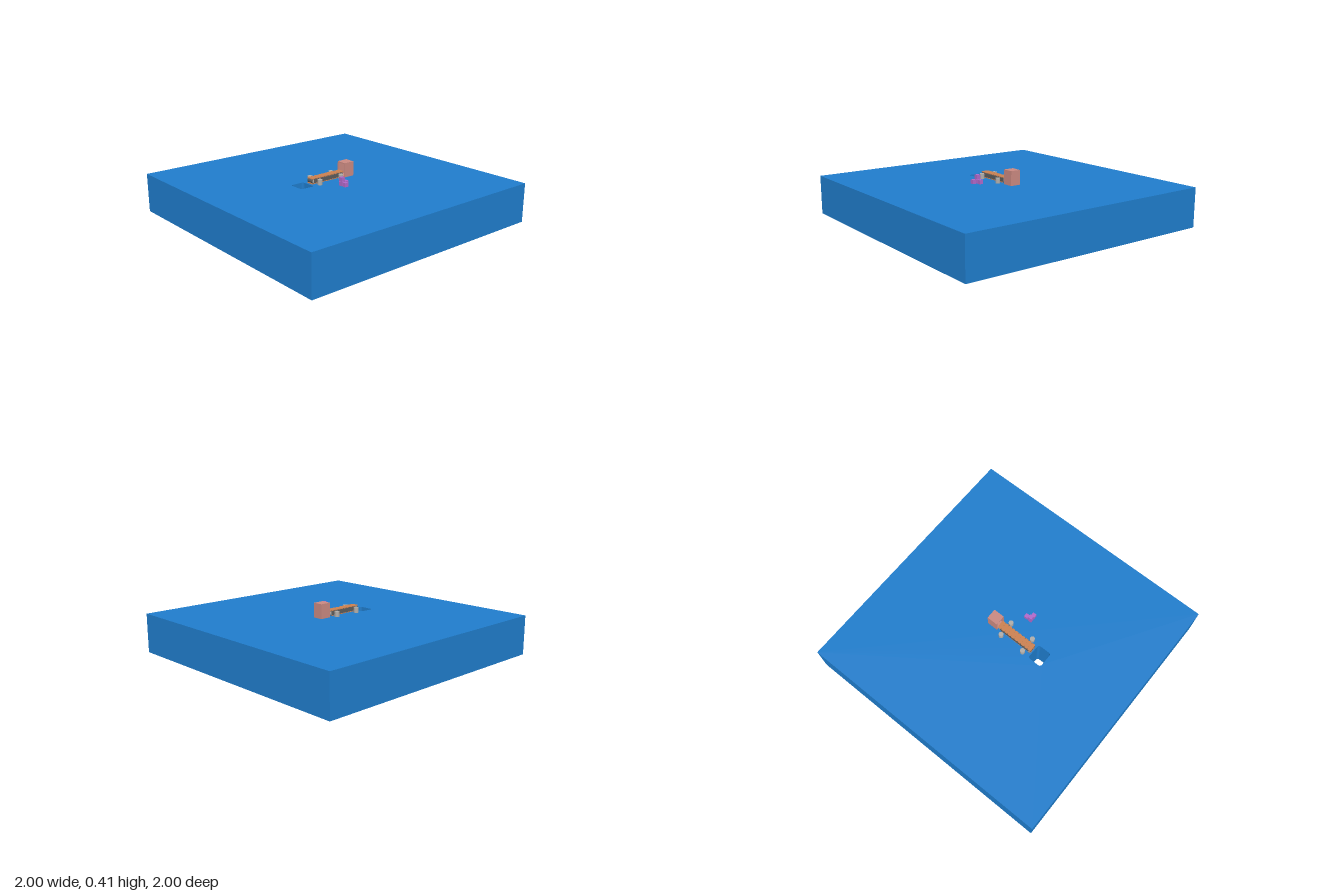
import * as THREE from 'three';

const mat = (color) => new THREE.MeshStandardMaterial({ color, flatShading: true });
const blue = mat(0x1f7ccb), pink = mat(0xc98880), orange = mat(0xc98050);
const grey = mat(0xb0aca8), dark = mat(0x5c5c5c), purple = mat(0xb068c8);

// Rounded rectangle outline centred on (cx, cy)
function roundedRect(PathType, cx, cy, w, h, r) {
  const p = new PathType(), x = w / 2 - r, y = h / 2 - r;
  p.absarc(cx + x, cy + y, r, 0, Math.PI / 2);
  p.absarc(cx - x, cy + y, r, Math.PI / 2, Math.PI);
  p.absarc(cx - x, cy - y, r, Math.PI, Math.PI * 1.5);
  p.absarc(cx + x, cy - y, r, Math.PI * 1.5, Math.PI * 2);
  p.closePath();
  return p;
}

function add(parent, name, geometry, material, x = 0, y = 0, z = 0) {
  const mesh = new THREE.Mesh(geometry, material);
  mesh.name = name;
  mesh.position.set(x, y, z);
  parent.add(mesh);
  return mesh;
}

const extrude = (shape, depth, curveSegments = 6) =>
  new THREE.ExtrudeGeometry(shape, { depth, bevelEnabled: false, curveSegments });

export function createModel() {
  const model = new THREE.Group();

  // Ground slab with a rounded shaft cut right through it
  const square = new THREE.Shape([[-1, -1], [1, -1], [1, 1], [-1, 1]].map(([x, y]) => new THREE.Vector2(x, y)));
  square.holes.push(roundedRect(THREE.Path, -0.28, 0.002, 0.112, 0.124, 0.018));
  add(model, 'groundSlab', extrude(square, 0.3).rotateX(-Math.PI / 2), blue);

  // Conveyor between the shaft and the box
  const conveyor = new THREE.Group();
  conveyor.name = 'conveyor';
  model.add(conveyor);
  const left = -0.197, right = 0.066, level = 0.325, mid = (left + right) / 2;

  // Belt loop and its end rollers
  const loop = roundedRect(THREE.Shape, mid, level, right - left + 0.036, 0.036, 0.0179);
  loop.holes.push(roundedRect(THREE.Path, mid, level, right - left + 0.026, 0.026, 0.0129));
  add(conveyor, 'belt', extrude(loop, 0.054), dark, 0, 0, -0.027);
  for (const x of [left, right]) {
    add(conveyor, 'endRoller', new THREE.CylinderGeometry(0.012, 0.012, 0.06, 12).rotateX(Math.PI / 2), grey, x, level);
  }

  // Side rails
  for (const z of [-0.028, 0.028]) {
    add(conveyor, 'sideRail', new THREE.BoxGeometry(right - left, 0.026, 0.005), dark, mid, level, z);
  }

  // Slats with cut corners along the top and bottom runs
  const slat = new THREE.Shape([[-0.015, -0.024], [-0.009, -0.031], [0.009, -0.031], [0.015, -0.024],
    [0.015, 0.024], [0.009, 0.031], [-0.009, 0.031], [-0.015, 0.024]].map(([x, y]) => new THREE.Vector2(x, y)));
  const slatGeometry = extrude(slat, 0.005).rotateX(-Math.PI / 2);
  for (let i = 0; i < 10; i++) {
    const x = -0.2 + i * 0.0305;
    add(conveyor, 'topSlat', slatGeometry, orange, x, 0.341, 0);
    if (x < right) add(conveyor, 'bottomSlat', slatGeometry, orange, x, 0.304, 0);
  }

  // Posts standing beside the belt, joined by cross rods
  for (const x of [-0.165, 0.035]) {
    add(conveyor, 'crossRod', new THREE.CylinderGeometry(0.004, 0.004, 0.12, 8).rotateX(Math.PI / 2), dark, x, level);
    for (const z of [-0.058, 0.058]) {
      add(conveyor, 'post', new THREE.CylinderGeometry(0.018, 0.018, 0.04, 16), grey, x, 0.32, z);
    }
  }

  // Box at the end of the belt, open toward it
  const box = new THREE.Group();
  box.name = 'openBox';
  model.add(box);
  const wall = 0.008, cx = 0.132;
  add(box, 'backWall', new THREE.BoxGeometry(wall, 0.11, 0.08), pink, 0.171, 0.355, 0);
  add(box, 'roof', new THREE.BoxGeometry(0.086, wall, 0.08), pink, cx, 0.406, 0);
  add(box, 'floor', new THREE.BoxGeometry(0.086, wall, 0.08), pink, cx, 0.304, 0);
  for (const z of [-0.036, 0.036]) {
    add(box, 'sideWall', new THREE.BoxGeometry(0.086, 0.11, wall), pink, cx, 0.355, z);
  }

  // Small stack of cubes in front of the belt
  const cube = new THREE.BoxGeometry(0.03, 0.031, 0.03);
  for (const [x, y, z] of [[-0.056, 0.316, 0.177], [-0.056, 0.349, 0.177], [-0.02, 0.316, 0.177], [-0.056, 0.316, 0.213]]) {
    add(model, 'cube', cube, purple, x, y, z);
  }
  return model;
}
